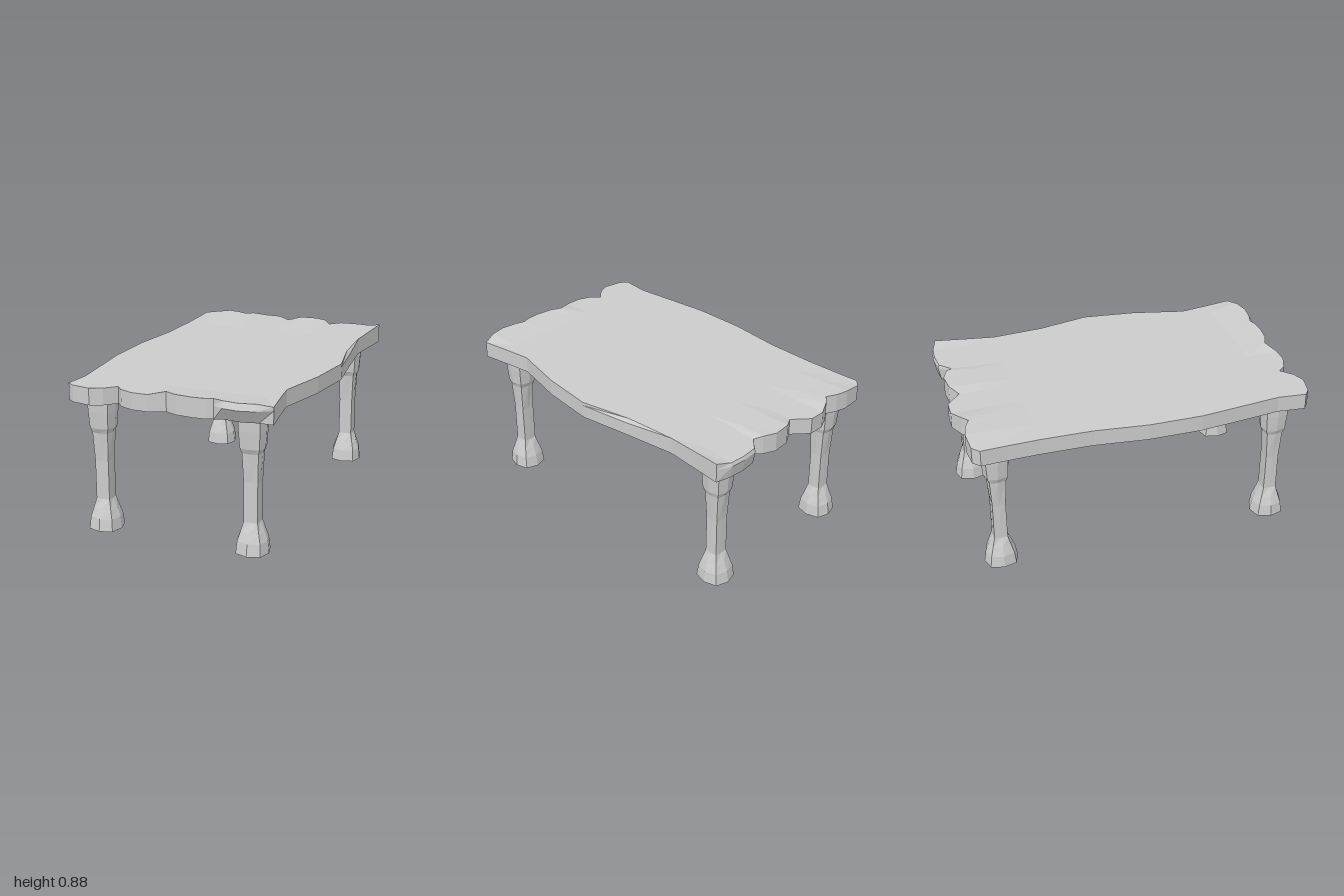
import * as THREE from 'three';

const material = new THREE.MeshStandardMaterial({ color: 0xcccccc, flatShading: true });

function meshFromQuads(quads, name) {
  const pos = [];
  for (const [a, b, c, d] of quads) pos.push(...a, ...b, ...c, ...a, ...c, ...d);
  const g = new THREE.BufferGeometry();
  g.setAttribute('position', new THREE.Float32BufferAttribute(pos, 3));
  g.computeVertexNormals();
  const mesh = new THREE.Mesh(g, material);
  mesh.name = name;
  return mesh;
}

// Slab: columns run across x, rows run from back to front.
const colX = [-0.6, -0.56, -0.45, -0.38, -0.32, -0.28, -0.2, -0.11, -0.02, 0.05, 0.15, 0.22, 0.26, 0.32, 0.41, 0.5, 0.58];
const backZ = [-0.92, -0.96, -0.97, -0.955, -0.925, -0.96, -1, -1, -0.92, -0.965, -0.975, -0.945, -0.91, -0.98, -0.99, -0.985, -0.95];
const frontZ = [0.94, 0.97, 0.99, 0.96, 0.9, 0.945, 0.975, 0.975, 0.935, 0.965, 0.975, 0.97, 0.955, 0.99, 1, 0.98, 0.93];
const rowZ = [-1, -0.78, -0.6, -0.3, 0, 0.31, 0.61, 0.78, 1];
const leftX = [-0.62, -0.612, -0.605, -0.608, -0.64, -0.64, -0.605, -0.585, -0.6];
const rightX = [0.58, 0.565, 0.55, 0.59, 0.635, 0.6, 0.53, 0.555, 0.58];
const LAST_COL = colX.length - 1, LAST_ROW = rowZ.length - 1;

// Layer 0 is the top surface, 1 the widest line of the edge, 2 the underside.
function slabPoint(i, j, layer) {
  const u = (colX[i] - colX[0]) / (colX[LAST_COL] - colX[0]);
  let x = THREE.MathUtils.lerp(leftX[j], rightX[j], u);
  let z = j === 0 ? backZ[i] : j === LAST_ROW ? frontZ[i] : rowZ[j];
  let y = [0.86, 0.84, 0.765][layer];
  if (layer === 0) {
    // gentle swellings at both ends
    const raisedBack = (i >= 2 && i <= 5) || (i >= 9 && i <= 11) || i === LAST_COL;
    if (raisedBack && j < 2) y += j === 0 ? 0.016 : 0.008;
    if (i >= 8 && i < LAST_COL && j === LAST_ROW) y += 0.016;
    if (i === LAST_COL && j === 3) x -= 0.018;
  }
  // chipped, undercut stretch of the front edge
  if (j === LAST_ROW && i >= 13 && i <= 15) z -= [0.018, 0, 0.05][layer];
  if (j === 0 && i >= 13 && i <= 15) z += [0.008, 0, 0.015][layer];
  return [x, y, z];
}

function createTop() {
  const quads = [];
  for (let i = 0; i < LAST_COL; i++) {
    for (let j = 0; j < LAST_ROW; j++) {
      const cell = [[i, j], [i, j + 1], [i + 1, j + 1], [i + 1, j]];
      quads.push(cell.map(([a, b]) => slabPoint(a, b, 0)));
      quads.push(cell.map(([a, b]) => slabPoint(a, b, 2)).reverse());
    }
  }
  // edge wall around the perimeter
  const loop = [];
  for (let i = 0; i < LAST_COL; i++) loop.push([i, LAST_ROW]);
  for (let j = LAST_ROW; j > 0; j--) loop.push([LAST_COL, j]);
  for (let i = LAST_COL; i > 0; i--) loop.push([i, 0]);
  for (let j = 0; j < LAST_ROW; j++) loop.push([0, j]);
  loop.forEach((a, k) => {
    const b = loop[(k + 1) % loop.length];
    for (let l = 0; l < 2; l++) {
      quads.push([slabPoint(...a, l + 1), slabPoint(...b, l + 1), slabPoint(...b, l), slabPoint(...a, l)]);
    }
  });
  return meshFromQuads(quads, 'tableTop');
}

// Leg levels: height, half width in x, half width in z, corner reach (0.71 round, 1 square).
const legLevels = [
  [0, 0.093, 0.097, 0.77],
  [0.07, 0.086, 0.086, 0.77],
  [0.12, 0.067, 0.066, 0.8],
  [0.175, 0.042, 0.04, 0.96],
  [0.4, 0.042, 0.039, 0.96],
  [0.565, 0.055, 0.054, 0.85],
  [0.595, 0.069, 0.07, 0.8],
  [0.69, 0.076, 0.077, 0.8],
  [0.77, 0.078, 0.08, 0.8],
];

function createLeg(x, z, name) {
  const rings = legLevels.map(([y, rx, rz, k]) => {
    const ring = [];
    for (let s = 0; s < 8; s++) {
      const a = (s * Math.PI) / 4, r = s % 2 ? k * Math.SQRT2 : 1;
      ring.push([Math.sin(a) * rx * r, y, Math.cos(a) * rz * r]);
    }
    return ring;
  });
  const quads = [];
  for (let l = 0; l < rings.length - 1; l++) {
    for (let s = 0; s < 8; s++) {
      const t = (s + 1) % 8;
      quads.push([rings[l][s], rings[l][t], rings[l + 1][t], rings[l + 1][s]]);
    }
  }
  // sole of the foot
  const b = rings[0];
  for (const s of [0, 2, 4]) quads.push([b[0], b[(s + 3) % 8], b[s + 2], b[s + 1]]);
  const leg = meshFromQuads(quads, name);
  leg.position.set(x, 0, z);
  return leg;
}

export function createModel() {
  const table = new THREE.Group();
  table.name = 'table';
  table.add(createTop());
  for (const [end, z] of [['front', 0.81], ['back', -0.82]]) {
    table.add(createLeg(0.422, z, end + 'LeftLeg'));
    table.add(createLeg(-0.467, z, end + 'RightLeg'));
  }
  return table;
}
